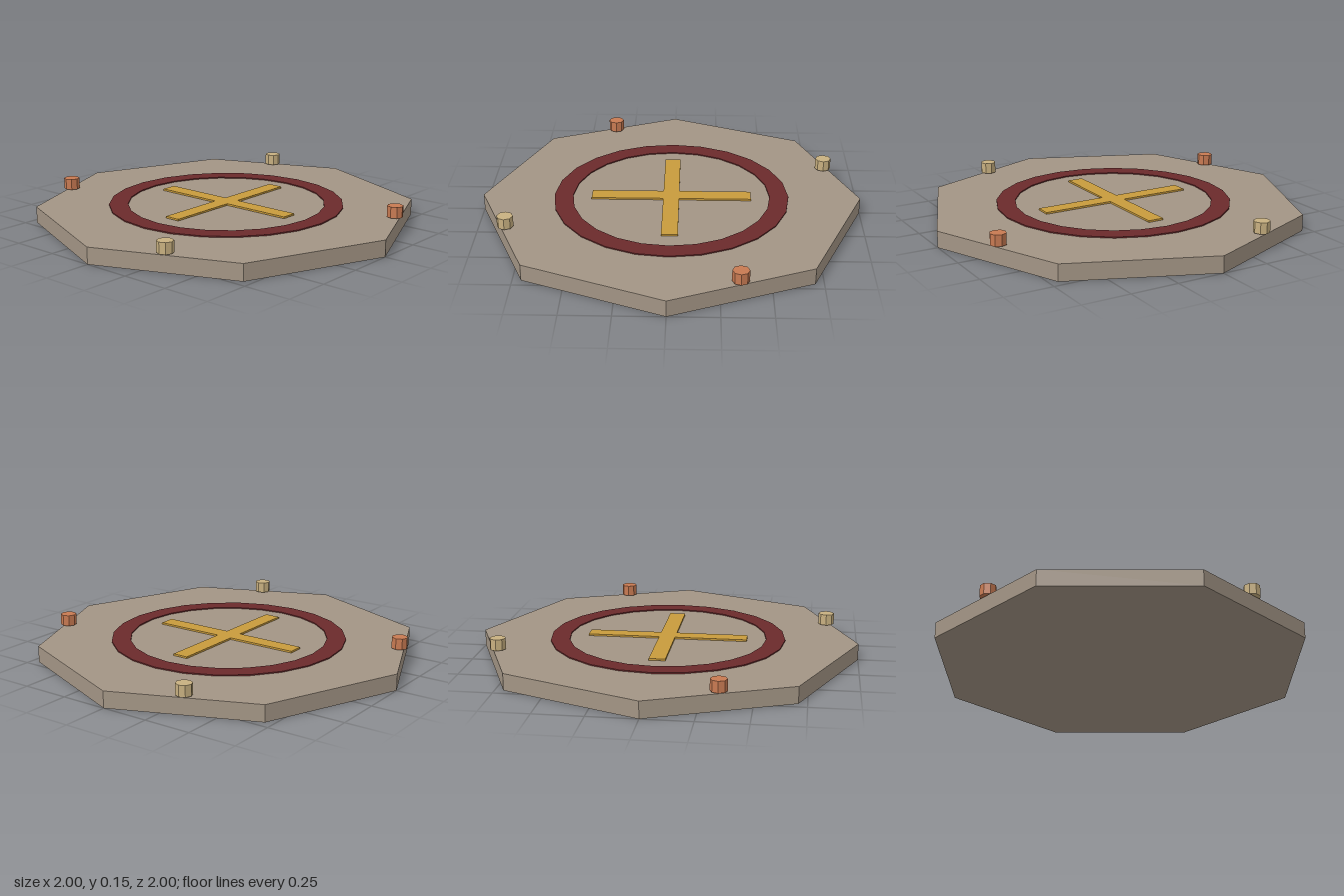
import * as THREE from 'three';

const material = (name, color) => {
  const m = new THREE.MeshStandardMaterial({ color });
  m.name = name;
  return m;
};

export function createModel() {
  const stone = material('stone', 0xa39585);
  const red = material('dark red', 0x6b2a2b);
  const gold = material('gold', 0xc89b3c);
  const copper = material('copper', 0xc87a52);
  const sand = material('sand', 0xc8b080);

  const model = new THREE.Group();
  model.name = 'octagonalPlatform';
  const add = (name, geometry, mat, x = 0, y = 0, z = 0) => {
    const mesh = new THREE.Mesh(geometry, mat);
    mesh.name = name;
    mesh.position.set(x, y, z);
    model.add(mesh);
  };
  // flat shape raised into a thin horizontal plate
  const plate = (shape, depth) =>
    new THREE.ExtrudeGeometry(shape, { depth, bevelEnabled: false }).rotateX(-Math.PI / 2);
  const polygon = (r, n) => Array.from({ length: n }, (_, i) => {
    const a = (i / n) * Math.PI * 2;
    return new THREE.Vector2(r * Math.cos(a), r * Math.sin(a));
  });

  // eight-sided slab with corners on the axes
  add('slab', plate(new THREE.Shape(polygon(1, 8)), 0.086), stone);

  // faceted inlaid ring
  const ring = new THREE.Shape(polygon(0.62, 24));
  ring.holes.push(new THREE.Path(polygon(0.52, 24)));
  add('ring', plate(ring, 0.006), red, 0, 0.087);

  // cross at the centre: one quarter outline turned four times
  const w = 0.042, l = 0.42, outline = [];
  for (let i = 0; i < 4; i++) {
    const turn = (x, y) => new THREE.Vector2(x, y).rotateAround(new THREE.Vector2(), i * Math.PI / 2);
    outline.push(turn(l, -w), turn(l, w), turn(w, w));
  }
  add('cross', plate(new THREE.Shape(outline), 0.0095), gold, 0, 0.0885);

  // four studs at the middle of alternate edges
  const stud = new THREE.CylinderGeometry(0.042, 0.042, 0.058, 8).toNonIndexed();
  stud.computeVertexNormals();
  for (let i = 0; i < 4; i++) {
    const a = Math.PI * 3 / 8 + i * Math.PI / 2;
    add('stud' + (i + 1), stud, i % 2 ? sand : copper, 0.9 * Math.cos(a), 0.122, 0.9 * Math.sin(a));
  }
  return model;
}
